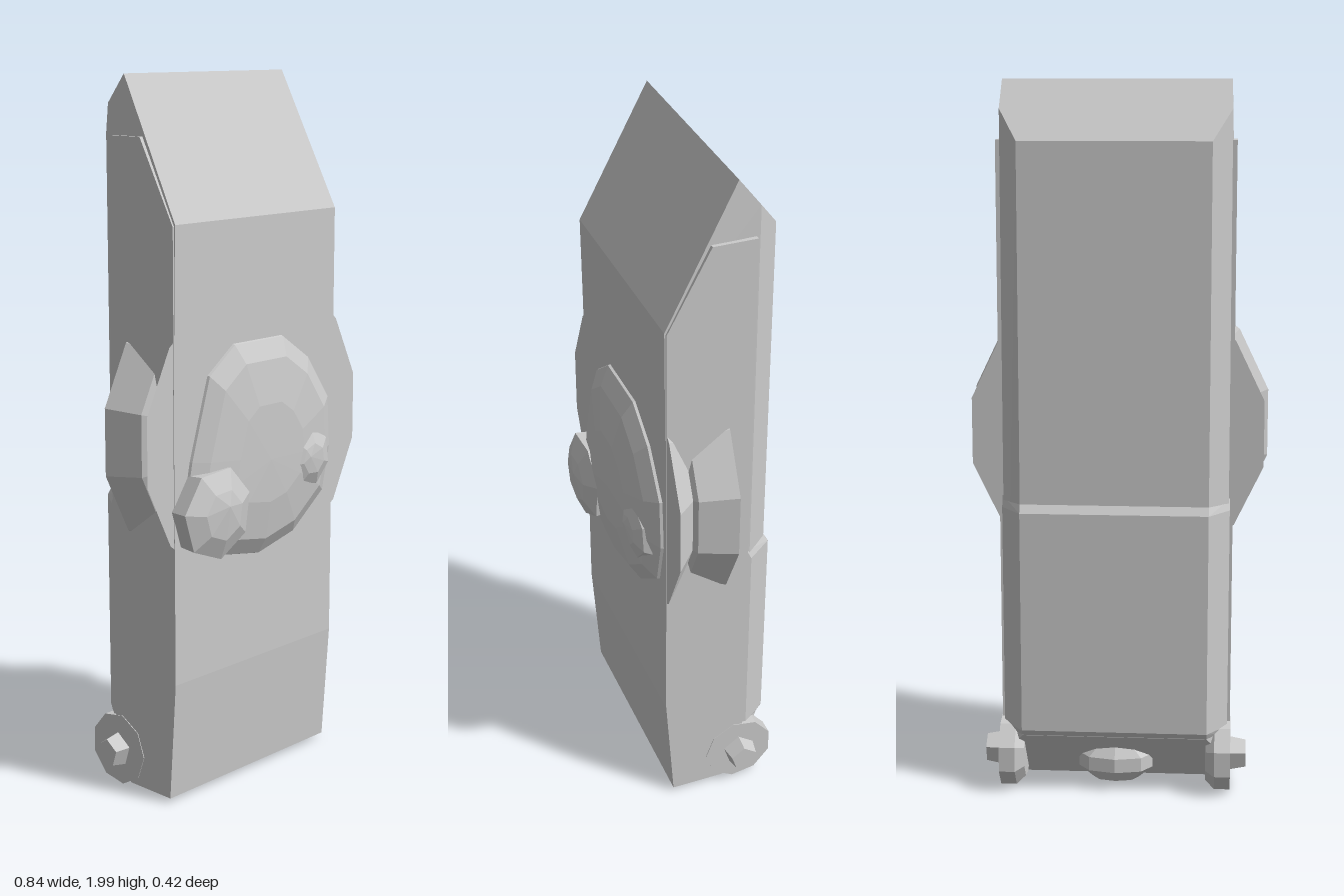
import * as THREE from 'three';
import { ConvexGeometry } from 'three/addons/geometries/ConvexGeometry.js';

const material = new THREE.MeshStandardMaterial({ color: 0xcccccc, flatShading: true });

export function createModel() {
  const model = new THREE.Group();
  const add = (name, geometry, x = 0, y = 0, z = 0) => {
    const mesh = new THREE.Mesh(geometry, material);
    mesh.name = name;
    mesh.position.set(x, y, z);
    model.add(mesh);
    return mesh;
  };
  // Solid hull around points mirrored in x
  const mirroredHull = (points) => new ConvexGeometry(points.flatMap(([x, y, z]) =>
    [new THREE.Vector3(x, y, z), new THREE.Vector3(-x, y, z)]));
  // Solid hull around scaled copies of an outline; rings are [scale, z], tip is [x, y, z]
  const domeHull = (outline, rings, cx, cy, tip) => {
    const points = rings.flatMap(([s, z]) => outline.map(([x, y]) =>
      new THREE.Vector3(cx + (x - cx) * s, cy + (y - cy) * s, z)));
    points.push(new THREE.Vector3(...tip));
    return new ConvexGeometry(points);
  };
  const regular = (n, cx, cy, r, turn) => Array.from({ length: n }, (_, i) => {
    const a = turn + (i / n) * Math.PI * 2;
    return [cx + r * Math.cos(a), cy + r * Math.sin(a)];
  });

  // Outer shell
  add('shell', mirroredHull([
    [0.325, 0.02, 0.098], [0.325, 0.36, 0.122], [0.325, 1.615, 0.122], [0.325, 1.84, 0.002],
    [0.325, 1.84, -0.12], [0.325, 0.16, -0.12], [0.325, 0.02, -0.06],
  ]));

  // Core with wedge top and bevelled back edges
  add('core', mirroredHull([
    [0.32, 1.62, 0.126], [0.31, 2, -0.07], [0.312, 1.923, -0.13], [0.26, 1.84, -0.195],
    [0.26, 0.18, -0.195], [0.315, 0.103, -0.13], [0.315, 0.02, -0.06], [0.315, 0.02, 0.09],
    [0.32, 0.36, 0.115],
  ]));

  // Raised lower panel on the back
  add('backPanel', mirroredHull([
    [0.26, 0.86, -0.19], [0.26, 0.83, -0.21], [0.26, 0.2, -0.21], [0.26, 0.175, -0.19],
    [0.317, 0.86, -0.12], [0.317, 0.83, -0.135], [0.317, 0.2, -0.135], [0.317, 0.175, -0.12],
  ]));

  // Two tapered discs through the body, showing as wings at the sides
  const disc = (name, rFront, rBack, zFront, zBack) => {
    const g = new THREE.CylinderGeometry(rFront, rBack, zFront - zBack, 14);
    g.rotateX(Math.PI / 2);
    add(name, g, 0, 1.03, (zFront + zBack) / 2);
  };
  disc('frontDisc', 0.433, 0.37, 0.12, 0.06);
  disc('rearDisc', 0.385, 0.42, 0.05, -0.055);
  disc('rearDiscFace', 0.35, 0.385, 0.07, 0.05);

  // Faceted dome on the front
  const domeOutline = [
    [-0.2, 1.21], [-0.1, 1.285], [0.1, 1.285], [0.21, 1.21], [0.3, 1.08], [0.31, 0.93],
    [0.28, 0.8], [0.15, 0.7], [0, 0.665], [-0.2, 0.7], [-0.3, 0.83], [-0.27, 0.98],
  ];
  add('frontDome', domeHull(domeOutline, [[1, 0.11], [0.98, 0.13], [0.82, 0.158], [0.45, 0.175]],
    0, 0.96, [0, 0.95, 0.178]));

  // Large and small knobs on the dome
  add('largeKnob', domeHull(regular(7, -0.21, 0.835, 0.13, 0.3),
    [[0.95, 0.11], [1, 0.175], [0.55, 0.2]], -0.21, 0.835, [-0.2, 0.86, 0.21]));
  add('smallKnob', domeHull(regular(7, 0.18, 0.92, 0.1, 0.6),
    [[1, 0.14], [0.85, 0.163], [0.45, 0.18]], 0.18, 0.92, [0.16, 0.93, 0.185]));

  // Hinge discs with five-sided bolts
  for (const side of [1, -1]) {
    const hinge = new THREE.LatheGeometry([
      [0, -0.035], [0.08, -0.035], [0.105, -0.01], [0.105, 0.035], [0, 0.035],
    ].map(([r, h]) => new THREE.Vector2(r, h)), 9);
    hinge.rotateZ(-side * Math.PI / 2);
    add('hinge', hinge, side * 0.292, 0.11, -0.11);
    const bolt = new THREE.CylinderGeometry(0.04, 0.05, 0.05, 5);
    bolt.rotateZ(-side * Math.PI / 2);
    // Point the pentagon upwards
    bolt.rotateX(-Math.PI / 2);
    add('bolt', bolt, side * 0.346, 0.11, -0.11);
  }

  // Low bump between the hinges
  const bump = new THREE.SphereGeometry(1, 8, 5);
  bump.scale(0.11, 0.065, 0.06);
  add('bottomBump', bump, 0, 0.085, -0.12);

  return model;
}
